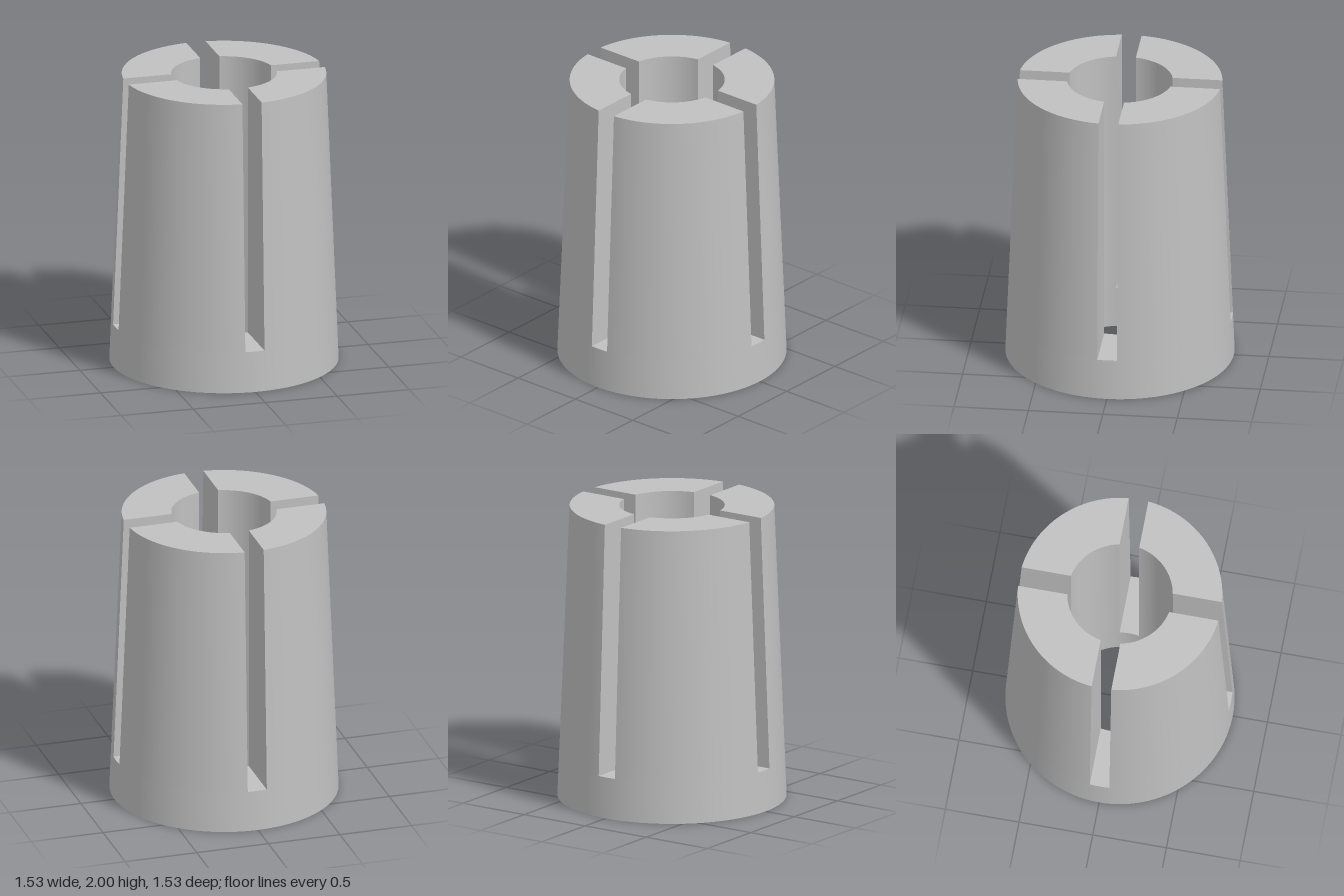
import * as THREE from 'three';
import { toCreasedNormals } from 'three/addons/utils/BufferGeometryUtils.js';

const HEIGHT = 2, FLOOR = 0.28;      // total height, slot floor height
const R_BOTTOM = 0.765, R_TOP = 0.683, R_BORE = 0.352;
const SLOT = 0.0665;                 // half the slot width

const outerRadius = (y) => THREE.MathUtils.lerp(R_BOTTOM, R_TOP, y / HEIGHT);

// Points on a circle, from angle a to angle b
function arc(r, y, a, b, n) {
  return Array.from({ length: n + 1 }, (_, i) => {
    const t = a + ((b - a) * i) / n;
    return [r * Math.cos(t), y, r * Math.sin(t)];
  });
}

// Arc over a finger (between two slots) or across a slot, with straight slot sides
function fingerArc(r, y, turn = 0) {
  const s = Math.asin(SLOT / r);
  return arc(r, y, turn + s, turn + Math.PI / 2 - s, 28);
}
function slotArc(r, y, turn = 0) {
  const s = Math.asin(SLOT / r);
  return arc(r, y, turn - s, turn + s, 4);
}

// Joins pairs of point rows with faces, smooth along curves and sharp at edges
function buildSurface(strips) {
  const positions = [];
  for (const [a, b] of strips) {
    for (let i = 0; i < a.length - 1; i++) {
      positions.push(...a[i], ...b[i], ...b[i + 1], ...a[i], ...b[i + 1], ...a[i + 1]);
    }
  }
  const geometry = new THREE.BufferGeometry();
  geometry.setAttribute('position', new THREE.Float32BufferAttribute(positions, 3));
  return toCreasedNormals(geometry, 0.5);
}

// Solid ring below the slots: outer wall, bore, underside and slot floors
function baseGeometry() {
  const strips = [];
  for (let k = 0; k < 4; k++) {
    const turn = (k * Math.PI) / 2;
    for (const row of [fingerArc, slotArc]) {
      const outerLow = row(R_BOTTOM, 0, turn), outerHigh = row(outerRadius(FLOOR), FLOOR, turn);
      const boreLow = row(R_BORE, 0, turn), boreHigh = row(R_BORE, FLOOR, turn);
      strips.push([outerLow, outerHigh], [boreHigh, boreLow], [boreLow, outerLow]);
      if (row === slotArc) strips.push([outerHigh, boreHigh]);
    }
  }
  return buildSurface(strips);
}

// One tapered finger, open underneath where it continues into the base
function fingerGeometry() {
  const outerLow = fingerArc(outerRadius(FLOOR), FLOOR), outerHigh = fingerArc(R_TOP, HEIGHT);
  const boreLow = fingerArc(R_BORE, FLOOR), boreHigh = fingerArc(R_BORE, HEIGHT);
  const first = (row) => row[0], last = (row) => row[row.length - 1];
  return buildSurface([
    [outerLow, outerHigh],
    [boreHigh, boreLow],
    [outerHigh, boreHigh],
    [[first(boreLow), first(outerLow)], [first(boreHigh), first(outerHigh)]],
    [[last(outerLow), last(boreLow)], [last(outerHigh), last(boreHigh)]],
  ]);
}

export function createModel() {
  const model = new THREE.Group();
  model.name = 'slottedCollet';
  const metal = new THREE.MeshStandardMaterial({ color: 0xc0c0c0 });
  metal.name = 'light grey metal';

  const base = new THREE.Mesh(baseGeometry(), metal);
  base.name = 'baseRing';
  model.add(base);

  const geometry = fingerGeometry();
  for (let k = 0; k < 4; k++) {
    const finger = new THREE.Mesh(geometry, metal);
    finger.name = `finger${k + 1}`;
    finger.rotation.y = (k * Math.PI) / 2;
    model.add(finger);
  }
  return model;
}
